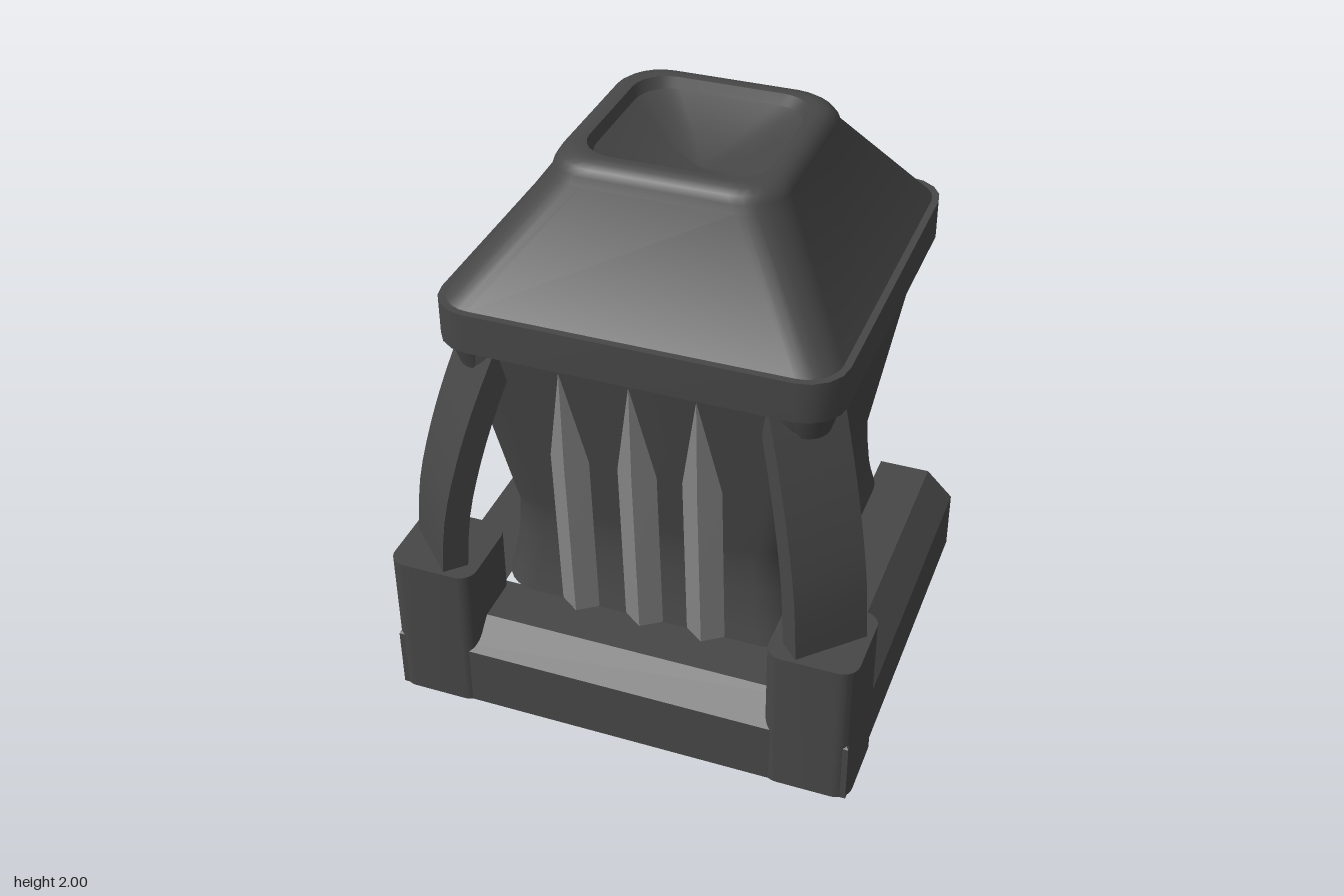
import * as THREE from 'three';
import { toCreasedNormals } from 'three/addons/utils/BufferGeometryUtils.js';

const dark = new THREE.MeshStandardMaterial({ color: 0x474747, side: THREE.DoubleSide });
const grey = new THREE.MeshStandardMaterial({ color: 0x858585, side: THREE.DoubleSide });
const CZ = -0.08; // centre of the tower in z

// Skin a list of rings (points run counter-clockwise seen from above, rings go upwards)
function skin(rings, closed = true, crease = 0.6) {
  const n = rings[0].length;
  const index = [];
  for (let r = 0; r < rings.length - 1; r++) {
    for (let i = 0; i < (closed ? n : n - 1); i++) {
      const a = r * n + i, b = r * n + (i + 1) % n;
      index.push(a, b, b + n, a, b + n, a + n);
    }
  }
  const geo = new THREE.BufferGeometry();
  geo.setAttribute('position', new THREE.Float32BufferAttribute(rings.flat(2), 3));
  geo.setIndex(index);
  return toCreasedNormals(geo, crease);
}

// Rounded square ring of given half width, height and corner radius
function squareRing(half, y, radius, steps = 6) {
  const pts = [];
  for (let c = 0; c < 4; c++) {
    const mid = Math.PI / 4 + c * Math.PI / 2;
    const cx = Math.sign(Math.cos(mid)) * (half - radius);
    const cz = -Math.sign(Math.sin(mid)) * (half - radius);
    for (let k = 0; k <= steps; k++) {
      const t = c * Math.PI / 2 + k / steps * Math.PI / 2;
      pts.push([cx + radius * Math.cos(t), y, CZ + cz - radius * Math.sin(t)]);
    }
  }
  return pts;
}

const tower = (profile, steps) => skin(profile.map(([h, y, r]) => squareRing(h, y, r, steps)));

function add(parent, name, geo, mat = dark) {
  const mesh = new THREE.Mesh(geo, mat);
  mesh.name = name;
  parent.add(mesh);
  return mesh;
}

// Footing with rounded corners, the curved brace above it and the knob under the collar
function cornerSupport(name) {
  const group = new THREE.Group();
  group.name = name;

  const x0 = 0.53, x1 = 0.845, z0 = 0.45, z1 = 0.77, r = 0.06;
  const s = new THREE.Shape();
  s.absarc(x1 - r, -z0 - r, r, 0, Math.PI / 2);
  s.absarc(x0 + r, -z0 - r, r, Math.PI / 2, Math.PI);
  s.absarc(x0 + r, -z1 + r, r, Math.PI, Math.PI * 1.5);
  s.absarc(x1 - r, -z1 + r, r, Math.PI * 1.5, Math.PI * 2);
  const block = new THREE.ExtrudeGeometry(s, { depth: 0.57, bevelEnabled: false, curveSegments: 5 });
  block.rotateX(-Math.PI / 2);
  add(group, 'footing', toCreasedNormals(block, 0.6));

  // brace: flat bar turned to the diagonal, leaning inwards in an arc
  const arc = new THREE.CatmullRomCurve3([[0.735, 0.5], [0.715, 0.78], [0.675, 1.0], [0.625, 1.2], [0.555, 1.43]]
    .map(([x, y]) => new THREE.Vector3(x, y, x - 0.07)));
  const w = 0.094, d = 0.065;
  const rings = arc.getPoints(12).map(({ x, y, z }) => [
    [x + w, y, z - w], [x + w - d, y, z - w - d], [x - w - d, y, z + w - d], [x - w, y, z + w],
  ]);
  add(group, 'brace', skin(rings));

  const knob = new THREE.CylinderGeometry(0.11, 0.075, 0.11, 20);
  const k = add(group, 'knob', toCreasedNormals(knob, 0.6));
  k.position.set(0.565, 1.36, 0.475);
  return group;
}

export function createModel() {
  const model = new THREE.Group();
  model.name = 'tower';

  // Waisted body, open underneath
  add(model, 'body', tower([
    [0.565, 0.33, 0.14], [0.552, 0.39, 0.14], [0.541, 0.46, 0.14], [0.533, 0.55, 0.14],
    [0.528, 0.65, 0.14], [0.54, 0.72, 0.14], [0.66, 1.42, 0.14],
  ]));

  // Collar band
  add(model, 'collar', tower([
    [0.63, 1.41, 0.12], [0.695, 1.41, 0.14], [0.695, 1.555, 0.14], [0.655, 1.555, 0.12],
  ], 4));

  // Sloping hood with rounded rim and hollow top
  add(model, 'hood', tower([
    [0.67, 1.555, 0.12], [0.405, 1.925, 0.15], [0.397, 1.955, 0.15], [0.383, 1.978, 0.15],
    [0.362, 1.994, 0.14], [0.335, 2, 0.13], [0.31, 1.998, 0.12],
  ]));
  add(model, 'hollow', tower([[0.31, 1.998, 0.12], [0.295, 1.96, 0.12], [0.15, 1.88, 0.08], [0.002, 1.84, 0.001]]));

  // Base skirt around front and sides, open at the back
  const skirt = [[0, 0], [0, 0.23], [0.1, 0.33], [0.29, 0.33]].map(([inset, y]) => {
    const x = 0.835 - inset, z = 0.762 - inset;
    return [[-x, y, -0.69], [-x, y, z], [x, y, z], [x, y, -0.69]];
  });
  add(model, 'skirt', skin(skirt, false, 0.3));

  // Pointed ribs on the front
  [-0.242, 0, 0.23].forEach((x, i) => {
    const rings = [[0, 0.2, 0.475], [1, 0.2, 0.475], [1, 1.0, 0.525], [0, 1.385, 0.585]].map(([f, y, z]) => [
      [x + 0.07 * f, y, z], [x, y, z - 0.05 * f], [x - 0.07 * f, y, z], [x, y, z + 0.05 * f],
    ]);
    add(model, `rib${i + 1}`, skin(rings, true, 0.2), grey);
  });

  // Front corner supports
  const left = cornerSupport('leftSupport');
  const right = cornerSupport('rightSupport');
  right.scale.x = -1;
  model.add(left, right);
  return model;
}
